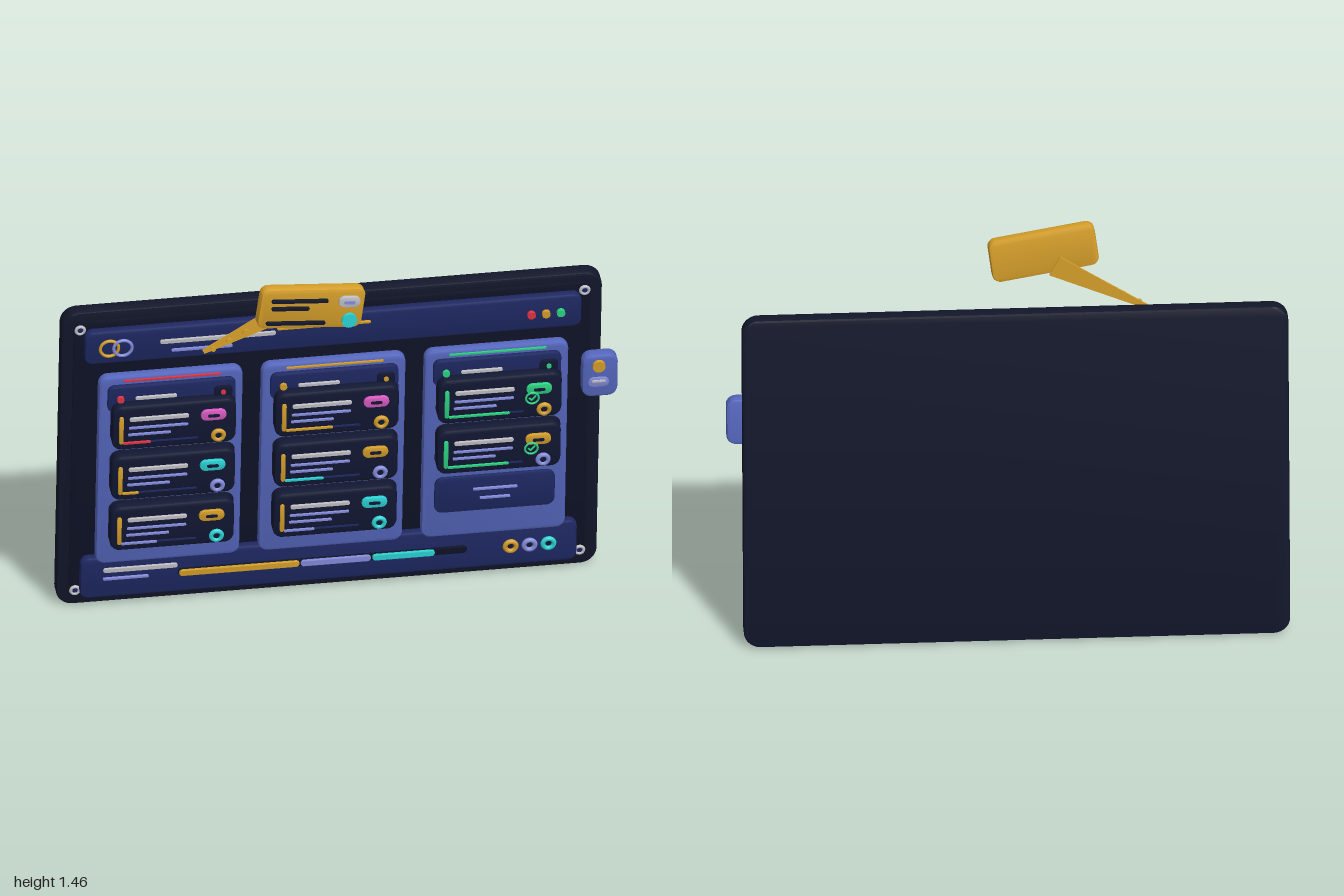
import * as THREE from 'three';
import { toCreasedNormals } from 'three/addons/utils/BufferGeometryUtils.js';

const C = {
  board: 0x12162a, face: 0x0e1226, navy: 0x1d2862, column: 0x5566bd, card: 0x111733,
  amber: 0xd69f2a, lavender: 0x848cdc, pale: 0xc0c0c6, cyan: 0x2cd4d6, pink: 0xdc5cc4,
  green: 0x2cd482, red: 0xe23444,
};
const materials = {};
const mat = (c) => (materials[c] ??= new THREE.MeshStandardMaterial({ color: C[c], side: THREE.DoubleSide }));

// Rounded rectangle plate with a softened edge; its back lies on z = 0
function plate(w, h, d, r, bevel = Math.min(d * 0.25, h * 0.2)) {
  const x = w / 2 - bevel, y = h / 2 - bevel;
  const k = Math.max(0.001, Math.min(r - bevel, x * 0.999, y * 0.999));
  const s = new THREE.Shape();
  s.absarc(x - k, y - k, k, 0, Math.PI / 2);
  s.absarc(-x + k, y - k, k, Math.PI / 2, Math.PI);
  s.absarc(-x + k, -y + k, k, Math.PI, Math.PI * 1.5);
  s.absarc(x - k, -y + k, k, Math.PI * 1.5, Math.PI * 2);
  const g = new THREE.ExtrudeGeometry(s, {
    depth: d - 2 * bevel, bevelThickness: bevel, bevelSize: bevel, bevelSegments: 2, curveSegments: 6,
  });
  g.translate(0, 0, bevel);
  return toCreasedNormals(g, 0.6);
}
const pill = (w, h, d = 0.01) => plate(w, h, d, h / 2);
const disc = (r, d = 0.012) => new THREE.CylinderGeometry(r, r, d, 20).rotateX(Math.PI / 2).translate(0, 0, d / 2);
const ring = (R, t) => new THREE.TorusGeometry(R, t, 8, 24);

function put(parent, name, geo, color, x, y, z) {
  const m = new THREE.Mesh(geo, mat(color));
  m.name = name;
  m.position.set(x, y, z);
  parent.add(m);
  return m;
}

// Board frame: leans forward; heights are given as seen from the front
const LEAN = 0.105, BASE = 0.006, SHIFT = 0.027;
const upBoard = (y, w) => (y - BASE + Math.sin(LEAN) * w) / Math.cos(LEAN);

function addCard(board, x, y, o) {
  const g = new THREE.Group();
  g.name = 'taskCard';
  g.position.set(x + 0.005, upBoard(y, 0.187), 0.187);
  board.add(g);
  put(g, 'cardShadow', plate(0.45, 0.185, 0.003, 0.035), 'board', 0.003, -0.004, -0.058);
  put(g, 'cardBody', plate(0.445, 0.187, 0.05, 0.035, 0.01), 'card', 0, 0, -0.05);
  put(g, 'cardStrip', pill(0.016, 0.118), o.strip, -0.192, -0.002, 0);
  put(g, 'cardTitle', pill(0.214, 0.016), 'pale', -0.056, 0.043, 0);
  put(g, 'cardText', pill(0.214, 0.009, 0.008), 'lavender', -0.058, 0.005, 0);
  put(g, 'cardText', pill(0.155, 0.009, 0.008), 'lavender', -0.09, -0.024, 0);
  put(g, 'progressTrack', pill(0.27, 0.007, 0.004), 'navy', -0.05, -0.06, 0);
  put(g, 'progressBar', pill(o.length, 0.009, 0.008), o.bar, -0.185 + o.length / 2, -0.06, 0);
  put(g, 'cardTag', pill(0.092, 0.044, 0.014), o.tag, 0.139, 0.039, 0);
  put(g, 'tagSlot', pill(0.042, 0.012, 0.005), 'card', 0.139, 0.039, 0.013);
  put(g, 'avatarHole', disc(0.016, 0.008), 'card', 0.158, -0.054, 0);
  put(g, 'avatarRing', ring(0.019, 0.0085), o.avatar, 0.158, -0.054, 0.006);
  if (o.check) {
    put(g, 'checkRing', ring(0.023, 0.004), 'green', 0.113, 0.006, 0.018);
    const path = new THREE.CatmullRomCurve3(
      [[-0.011, 0.001], [-0.003, -0.008], [0.013, 0.01]].map(([a, b]) => new THREE.Vector3(a, b, 0)), false, 'catmullrom', 0.05);
    put(g, 'checkMark', new THREE.TubeGeometry(path, 12, 0.0035, 6), 'green', 0.113, 0.006, 0.018);
  }
}

export function createModel() {
  const model = new THREE.Group();
  model.name = 'taskBoard';
  const board = new THREE.Group();
  board.name = 'board';
  board.position.set(-SHIFT, BASE, -0.233);
  board.rotation.x = LEAN;
  model.add(board);
  const add = (name, geo, color, x, y, w) => put(board, name, geo, color, x + SHIFT, upBoard(y, w), w);

  // Backing slab, face and corner screws
  add('slab', plate(1.945, 1.278, 0.057, 0.06, 0.008), 'board', -SHIFT, 0.64, 0);
  add('face', plate(1.86, 1.2, 0.006, 0.04), 'face', -SHIFT, 0.64, 0.056);
  for (const sx of [-1, 1]) for (const y of [0.067, 1.205]) {
    add('screw', disc(0.016, 0.014), 'navy', sx * 0.908 - SHIFT, y, 0.058);
    add('screwRing', ring(0.015, 0.006), 'pale', sx * 0.908 - SHIFT, y, 0.07);
  }

  // Header
  add('header', plate(1.787, 0.138, 0.037, 0.03), 'navy', -SHIFT, 1.138, 0.06);
  add('emblemRing', ring(0.033, 0.006), 'amber', -0.834, 1.136, 0.104);
  add('emblemRing', ring(0.033, 0.006), 'lavender', -0.786, 1.136, 0.107);
  add('headerTitle', pill(0.417, 0.016), 'pale', -0.443, 1.147, 0.097);
  add('headerText', pill(0.22, 0.01), 'lavender', -0.5, 1.107, 0.097);
  add('headerLine', pill(0.337, 0.009), 'amber', -0.062, 1.163, 0.097);
  ['red', 'amber', 'green'].forEach((c, i) => add('statusDot', disc(0.015, 0.014), c, 0.685 + i * 0.053, 1.136, 0.097));

  // Columns with their cards
  const cards = [
    [['amber', 'red', 0.1, 'pink', 'amber'], ['amber', 'amber', 0.06, 'cyan', 'lavender'], ['amber', 'lavender', 0.13, 'amber', 'cyan']],
    [['amber', 'amber', 0.17, 'pink', 'amber'], ['amber', 'cyan', 0.14, 'amber', 'lavender'], ['amber', 'lavender', 0.11, 'cyan', 'cyan']],
    [['green', 'green', 0.22, 'green', 'amber'], ['green', 'green', 0.22, 'amber', 'lavender']],
  ];
  ['red', 'amber', 'green'].forEach((c, i) => {
    const x = -SHIFT + (i - 1) * 0.586;
    add('column', plate(0.518, 0.816, 0.042, 0.035), 'column', x, 0.617, 0.084);
    add('columnLine', pill(0.35, 0.008, 0.007), c, x, 1.017, 0.145);
    add('columnHeader', plate(0.46, 0.11, 0.02, 0.025), 'navy', x, 0.937, 0.127);
    add('columnDot', disc(0.013), c, x - 0.185, 0.94, 0.147);
    add('columnTitle', pill(0.15, 0.013), 'pale', x - 0.057, 0.94, 0.147);
    add('counter', plate(0.065, 0.05, 0.008, 0.015), 'card', x + 0.184, 0.94, 0.147);
    add('counterDot', disc(0.009, 0.006), c, x + 0.184, 0.94, 0.155);
    cards[i].forEach(([strip, bar, length, tag, avatar], j) =>
      addCard(board, x + SHIFT, 0.83 - j * 0.22, { strip, bar, length, tag, avatar, check: i === 2 }));
  });
  // Empty slot in the last column
  add('emptySlot', plate(0.433, 0.15, 0.015, 0.03), 'navy', 0.559, 0.398, 0.128);
  add('emptySlotLine', pill(0.16, 0.008), 'lavender', 0.559, 0.42, 0.143);
  add('emptySlotLine', pill(0.11, 0.008), 'lavender', 0.559, 0.38, 0.143);

  // Footer with segmented progress bar
  add('footer', plate(1.787, 0.172, 0.037, 0.03), 'navy', -SHIFT, 0.131, 0.06);
  add('footerTitle', pill(0.268, 0.018), 'pale', -0.706, 0.163, 0.097);
  add('footerText', pill(0.165, 0.01), 'lavender', -0.758, 0.126, 0.097);
  add('footerTrack', pill(1.04, 0.03, 0.008), 'face', -0.05, 0.131, 0.097);
  [['amber', -0.567, -0.134], ['lavender', -0.13, 0.123], ['cyan', 0.128, 0.353]].forEach(([c, a, b]) =>
    add('footerProgress', pill(b - a, 0.025, 0.012), c, (a + b) / 2, 0.131, 0.102));
  ['amber', 'lavender', 'cyan'].forEach((c, i) => {
    add('footerAvatarHole', disc(0.02, 0.01), 'card', 0.626 + i * 0.068, 0.131, 0.097);
    add('footerAvatar', ring(0.02, 0.009), c, 0.626 + i * 0.068, 0.131, 0.108);
  });

  // Side tab
  add('sideTab', plate(0.128, 0.178, 0.05, 0.035, 0.01), 'column', 0.936, 0.851, 0.06);
  add('tabDot', disc(0.023, 0.014), 'amber', 0.93, 0.896, 0.11);
  add('tabLabel', pill(0.075, 0.04, 0.008), 'lavender', 0.93, 0.826, 0.11);
  add('tabLine', pill(0.05, 0.009, 0.006), 'pale', 0.93, 0.832, 0.117);

  // Floating note
  const note = new THREE.Group();
  note.name = 'floatingNote';
  note.position.set(-0.142, 1.362, 0.185);
  note.rotation.set(0.06, 0.09, -0.129);
  model.add(note);
  put(note, 'noteBody', plate(0.385, 0.163, 0.045, 0.03, 0.008), 'amber', 0, 0, -0.022);
  [[-0.05, 0.037, 0.21], [-0.081, 0.006, 0.14], [-0.054, -0.055, 0.22]].forEach(([x, y, w]) =>
    put(note, 'noteLine', pill(w, 0.014, 0.012), 'board', x, y, 0.022));
  put(note, 'noteTag', pill(0.08, 0.045, 0.014), 'pale', 0.133, 0.033, 0.022);
  put(note, 'noteTagSlot', pill(0.04, 0.012, 0.005), 'lavender', 0.133, 0.033, 0.035);
  put(note, 'noteDot', disc(0.028, 0.014), 'cyan', 0.143, -0.046, 0.022);

  // Tapering tail with beads
  const tip = new THREE.Vector3(-0.515, 1.163, 0.107), root = new THREE.Vector3(-0.18, 1.335, 0.124);
  const dir = root.clone().sub(tip), side = new THREE.Vector3(-dir.y, dir.x, 0).normalize();
  const outline = [[0, -0.008], [1, -0.042], [1, 0.042], [0, 0.008]].map(([t, s]) => {
    const p = tip.clone().addScaledVector(dir, t).addScaledVector(side, s);
    return new THREE.Vector2(p.x, p.y);
  });
  const tail = new THREE.ExtrudeGeometry(new THREE.Shape(outline), { depth: 0.006, bevelEnabled: false });
  const pos = tail.attributes.position;
  for (let i = 0; i < pos.count; i++) pos.setZ(i, pos.getZ(i) + tip.z + (dir.z * (pos.getX(i) - tip.x)) / dir.x);
  tail.computeVertexNormals();
  put(model, 'noteTail', tail, 'amber', 0, 0, 0);
  [0.1, 0.27, 0.45, 0.68].forEach((t, i) => {
    const p = tip.clone().addScaledVector(dir, t);
    put(model, 'tailBead', disc(0.009 + i * 0.002, 0.008), 'amber', p.x, p.y, p.z + 0.014);
  });
  return model;
}
